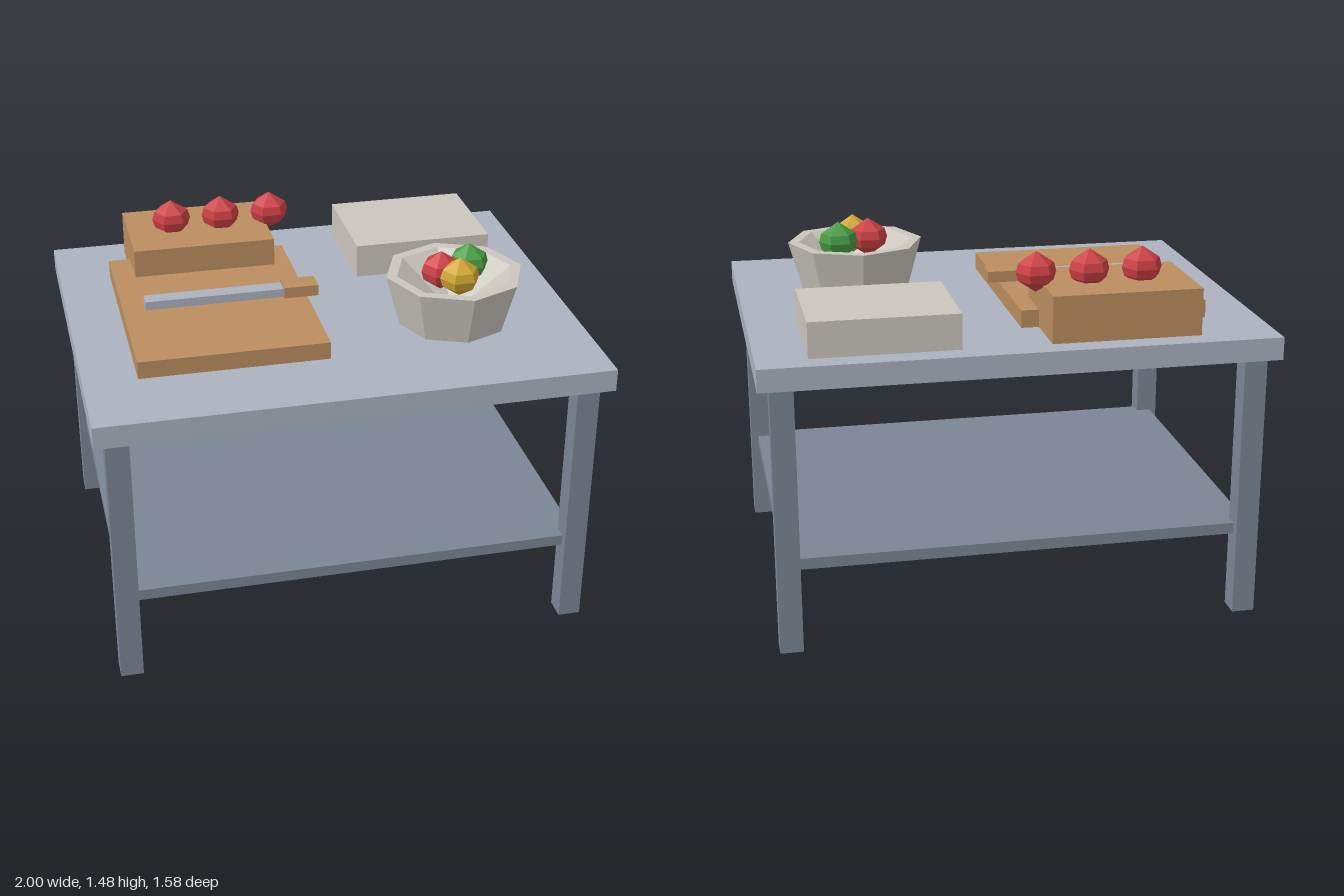
import * as THREE from 'three';

const mat = (name, color, opts = {}) => {
  const m = new THREE.MeshStandardMaterial({ color, flatShading: true, ...opts });
  m.name = name;
  return m;
};

export function createModel() {
  const steel = mat('light steel', 0xabb1be);
  const frame = mat('dark steel', 0x7b8594);
  const wood = mat('wood', 0xba8d5e);
  const cream = mat('cream', 0xcac6bd);
  const red = mat('red', 0xcc3f44);
  const green = mat('green', 0x479a43);
  const yellow = mat('yellow', 0xd0a52f);

  const model = new THREE.Group();
  model.name = 'kitchenTable';

  const add = (name, geometry, material, x = 0, y = 0, z = 0) => {
    const mesh = new THREE.Mesh(geometry, material);
    mesh.name = name;
    mesh.position.set(x, y, z);
    model.add(mesh);
    return mesh;
  };

  // Box given by its [min, max] extent on each axis
  const box = (name, material, [x0, x1], [y0, y1], [z0, z1]) =>
    add(name, new THREE.BoxGeometry(x1 - x0, y1 - y0, z1 - z0), material,
      (x0 + x1) / 2, (y0 + y1) / 2, (z0 + z1) / 2);

  // Faceted solid turned from a profile of [radius, height] points, bottom to top
  const turned = (points, sides) =>
    new THREE.LatheGeometry(points.map(([r, y]) => new THREE.Vector2(r, y)), sides);

  // Table
  const top = 1.165;
  box('tableTop', steel, [-1, 1], [1.075, top], [-0.79, 0.79]);
  box('lowerShelf', frame, [-0.925, 0.925], [0.33, 0.375], [-0.71, 0.71]);
  for (const sx of [-1, 1]) {
    for (const sz of [-1, 1]) {
      add('leg', new THREE.BoxGeometry(0.09, 1.075, 0.09), frame, sx * 0.91, 0.5375, sz * 0.7);
    }
  }

  // Cutting board, wooden block and cream block
  box('cuttingBoard', wood, [-0.79, -0.045], [top, 1.235], [-0.47, 0.46]);
  box('woodenBlock', wood, [-0.7, -0.115], [top, 1.35], [-0.7, -0.285]);
  box('creamBlock', cream, [0.23, 0.805], [top, 1.305], [-0.7, -0.235]);

  // Knife
  box('knifeBlade', steel, [-0.7, -0.14], [1.235, 1.27], [-0.035, 0.03]);
  box('knifeHandle', wood, [-0.14, 0], [1.235, 1.28], [-0.045, 0.045]);

  // Eight-sided bowl: base, outer wall, flat rim, sloping inside
  const bowl = turned([[0, 0], [0.22, 0], [0.278, 0.21], [0.235, 0.21], [0, 0.03]], 8);
  add('bowl', bowl, cream, 0.51, top, 0.23);

  // Six-sided fruit with corners pointing along x
  const fruit = turned([[0, -0.081], [0.07, -0.034], [0.08, 0], [0.07, 0.034], [0, 0.081]], 6);
  fruit.rotateY(Math.PI / 6);
  for (const x of [-0.515, -0.305, -0.095]) add('redFruit', fruit, red, x, 1.395, -0.495);
  add('redBowlFruit', fruit, red, 0.455, 1.385, 0.23);
  add('greenBowlFruit', fruit, green, 0.585, 1.385, 0.18);
  add('yellowBowlFruit', fruit, yellow, 0.51, 1.385, 0.305);

  return model;
}
